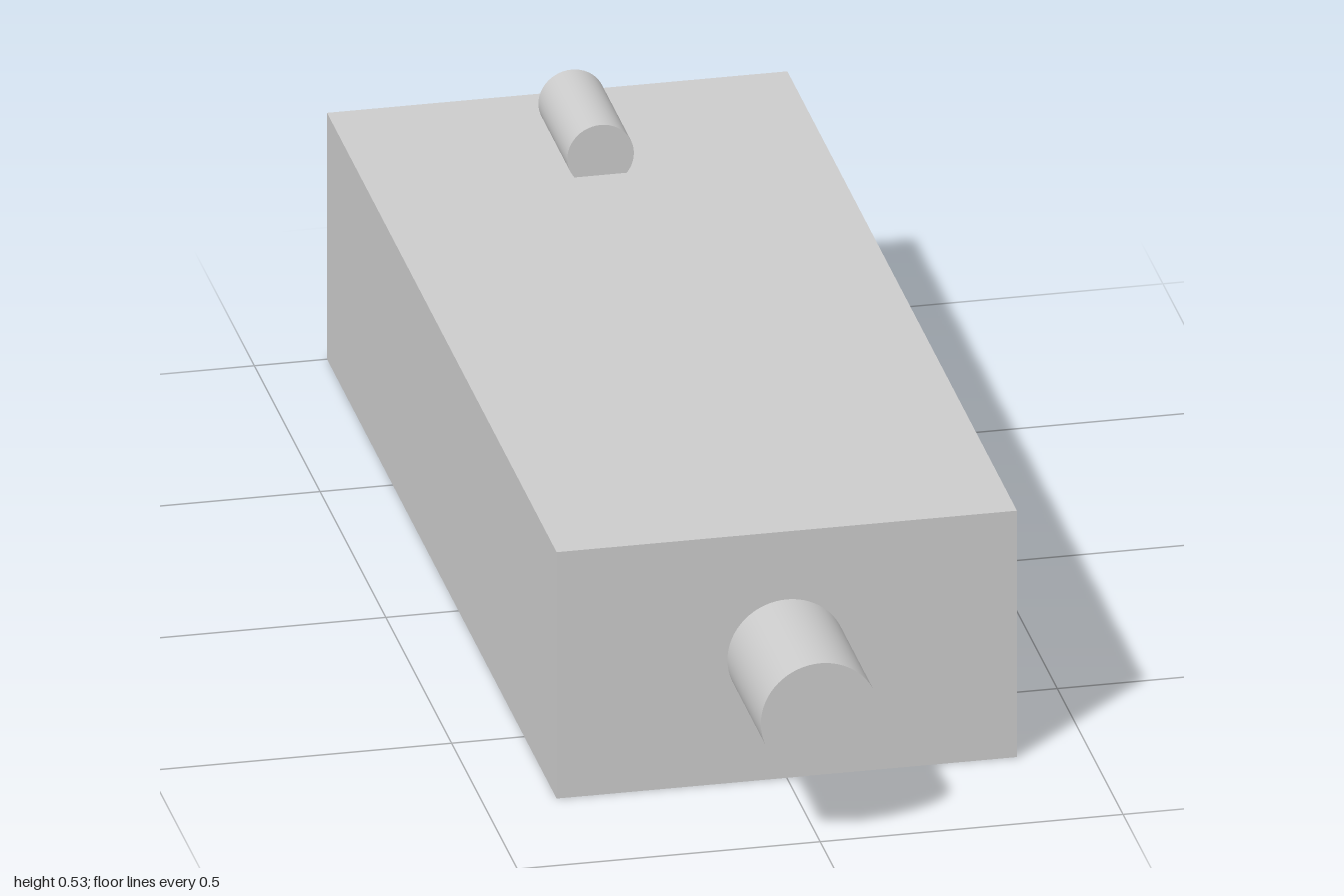
import * as THREE from 'three';

const WIDTH = 0.76, HEIGHT = 0.437, BACK = -1, FRONT = 0.746;
const AXIS_Y = HEIGHT / 2;
const PEG_RADIUS = 0.098, SOCKET_RADIUS = 0.077, SOCKET_DEPTH = 0.28;

export function createModel() {
  const group = new THREE.Group();
  const grey = new THREE.MeshStandardMaterial({ color: 0xcccccc });
  const greyInside = new THREE.MeshStandardMaterial({ color: 0xcccccc, side: THREE.DoubleSide });

  const add = (name, geometry, x, y, z, material = grey) => {
    const mesh = new THREE.Mesh(geometry, material);
    mesh.name = name;
    mesh.position.set(x, y, z);
    group.add(mesh);
    return mesh;
  };

  // Block body: a box without its back face (the last six indices)
  const box = new THREE.BoxGeometry(WIDTH, HEIGHT, FRONT - BACK);
  box.setIndex(Array.from(box.index.array).slice(0, 30));
  box.clearGroups();
  add('body', box, 0, AXIS_Y, (FRONT + BACK) / 2);

  // Back wall with the round socket opening
  const wall = new THREE.Shape([
    new THREE.Vector2(-WIDTH / 2, -HEIGHT / 2), new THREE.Vector2(WIDTH / 2, -HEIGHT / 2),
    new THREE.Vector2(WIDTH / 2, HEIGHT / 2), new THREE.Vector2(-WIDTH / 2, HEIGHT / 2),
  ]);
  wall.holes.push(new THREE.Path().absarc(0, 0, SOCKET_RADIUS, 0, Math.PI * 2, true));
  add('backWall', new THREE.ShapeGeometry(wall, 48).rotateY(Math.PI), 0, AXIS_Y, BACK);

  // Blind socket: bore and floor
  const bore = new THREE.CylinderGeometry(SOCKET_RADIUS, SOCKET_RADIUS, SOCKET_DEPTH, 48, 1, true);
  add('socketBore', bore.rotateX(Math.PI / 2), 0, AXIS_Y, BACK + SOCKET_DEPTH / 2, greyInside);
  const floor = new THREE.CircleGeometry(SOCKET_RADIUS, 48).rotateY(Math.PI);
  add('socketFloor', floor, 0, AXIS_Y, BACK + SOCKET_DEPTH);

  // Round peg on the front
  const peg = new THREE.CylinderGeometry(PEG_RADIUS, PEG_RADIUS, 1 - FRONT, 64);
  add('frontPeg', peg.rotateX(Math.PI / 2), 0, AXIS_Y, (1 + FRONT) / 2);

  // Small lying cylinder sunk part way into the top near the back
  const sight = new THREE.CylinderGeometry(0.055, 0.055, 0.22, 48);
  add('topSight', sight.rotateX(Math.PI / 2), 0, 0.471, -0.78);

  return group;
}
